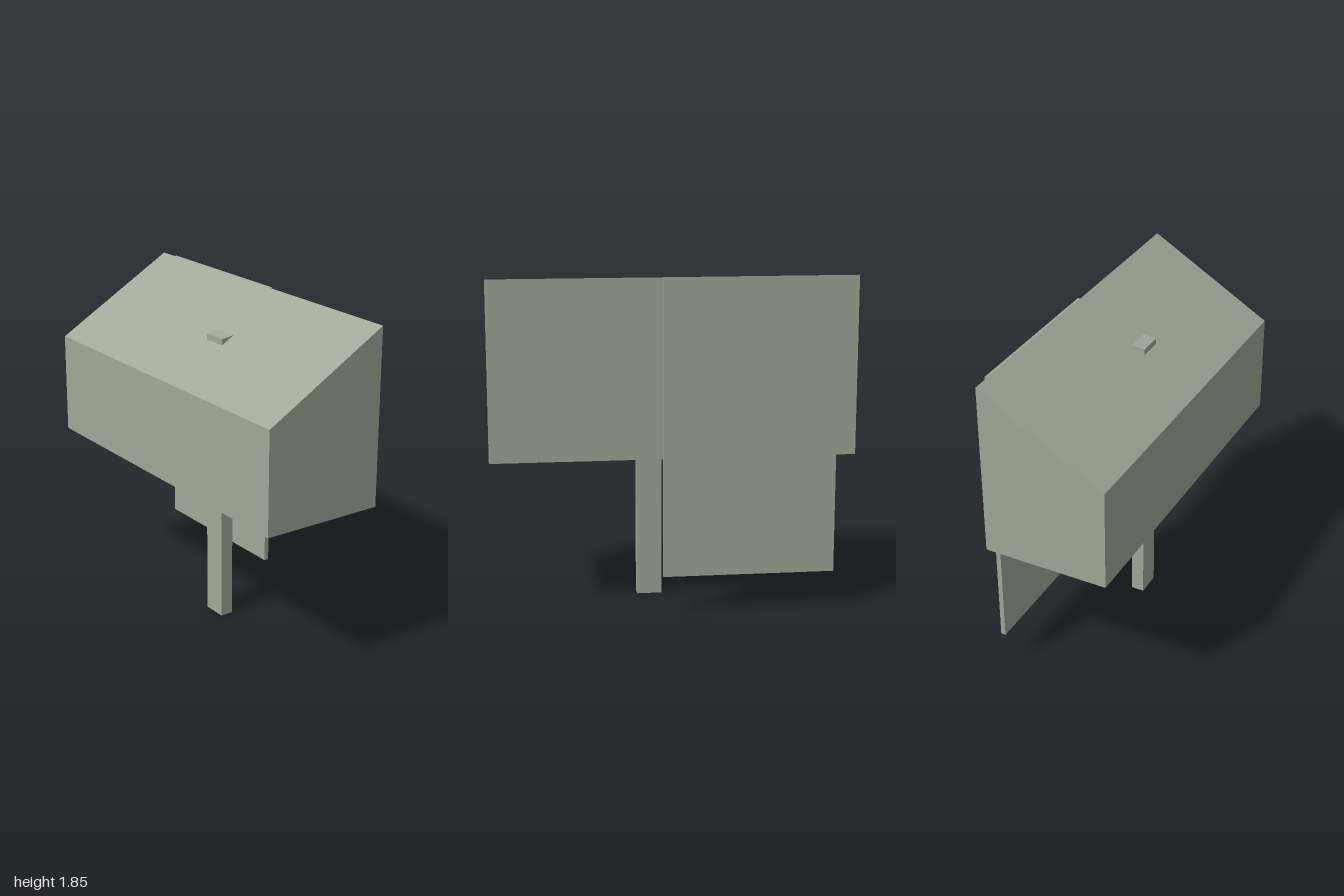
import * as THREE from 'three';

const sage = new THREE.MeshStandardMaterial({ color: 0x9fa998 });
sage.name = 'sage grey';

// Extrude an x/y outline from z0 to z1
function prism(name, outline, z0, z1) {
  const shape = new THREE.Shape(outline.map(([x, y]) => new THREE.Vector2(x, y)));
  const geometry = new THREE.ExtrudeGeometry(shape, { depth: z1 - z0, bevelEnabled: false });
  geometry.translate(0, 0, z0);
  const mesh = new THREE.Mesh(geometry, sage);
  mesh.name = name;
  return mesh;
}

export function createModel() {
  const group = new THREE.Group();
  group.name = 'raisedShelter';

  // Long body with a single-pitch roof
  group.add(prism('body', [[-0.362, 0.865], [0.345, 0.865], [0.345, 1.85], [-0.362, 1.44]], -1, 1));

  // Support post, its tip just breaking through the roof
  group.add(prism('post', [[-0.058, 0], [0.016, 0], [0.016, 1.66], [-0.058, 1.65]], 0.033, 0.175));

  // Tall thin panel hanging on the high side
  group.add(prism('sidePanel', [[0.333, 0.203], [0.36, 0.203], [0.36, 1.85], [0.333, 1.843]], -0.89, 0.063));

  return group;
}
